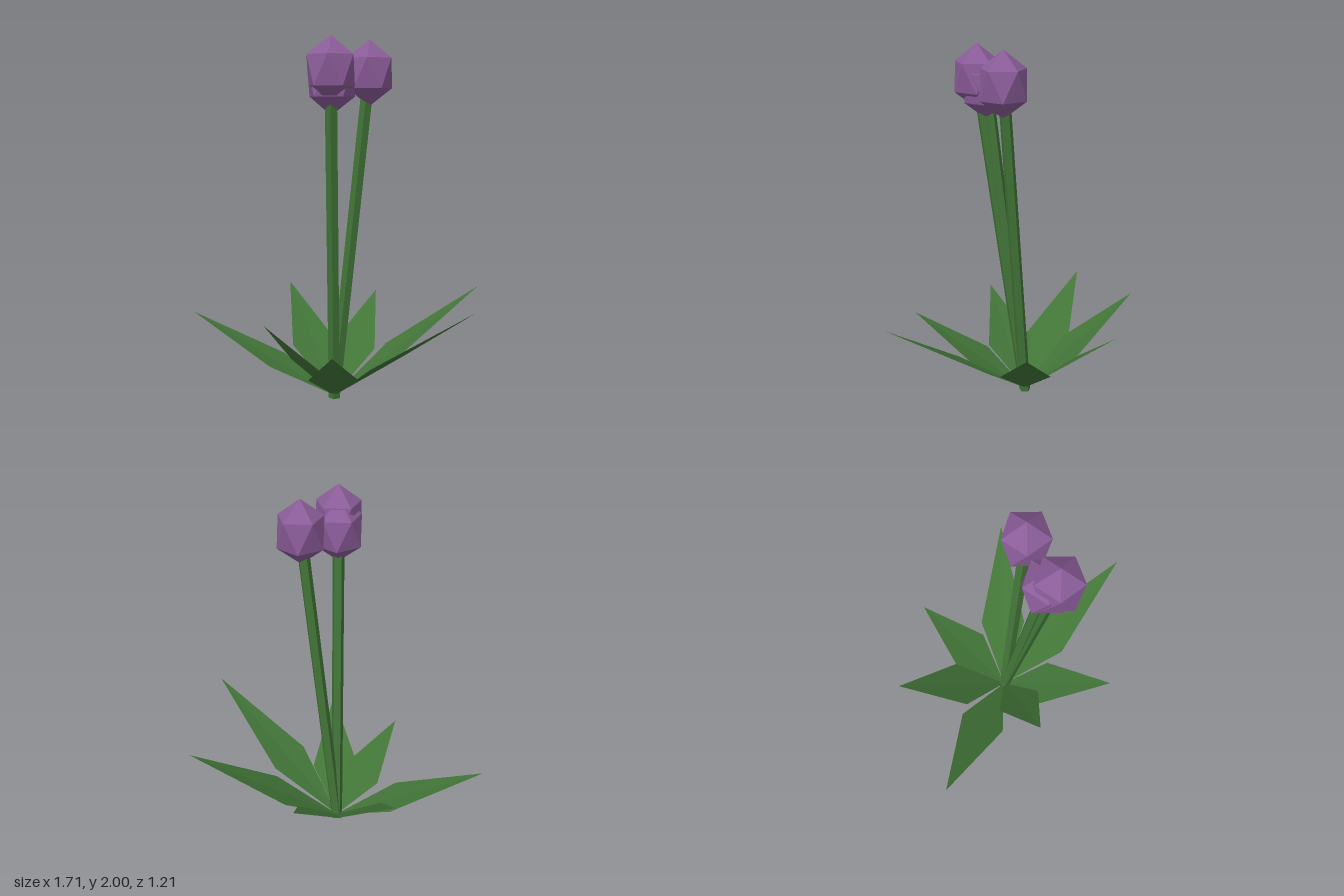
import * as THREE from 'three';

const green = new THREE.MeshStandardMaterial({ color: 0x427538, flatShading: true });
const leafGreen = new THREE.MeshStandardMaterial({ color: 0x427538, flatShading: true, side: THREE.DoubleSide });
const purple = new THREE.MeshStandardMaterial({ color: 0x8a5c99, flatShading: true });

const BASE = new THREE.Vector3(-0.03, 0, 0);

// Flat kite-shaped blade running from the base to its tip
function makeLeaf(tip, midRatio) {
  const root = BASE.clone().setY(0.012);
  const mid = root.clone().lerp(tip, midRatio);
  mid.y += 0.01;
  const side = new THREE.Vector3(tip.z - root.z, 0, root.x - tip.x).setLength(0.137);
  const right = mid.clone().add(side);
  const left = mid.clone().sub(side);
  const geometry = new THREE.BufferGeometry().setFromPoints([root, right, tip, root, tip, left]);
  geometry.computeVertexNormals();
  return new THREE.Mesh(geometry, leafGreen);
}

// Five-sided stem sheared from the base to the flower centre, so its ends stay level
function makeStem(top) {
  const geometry = new THREE.CylinderGeometry(0.033, 0.033, top.y, 5);
  geometry.rotateY(Math.PI / 2).translate(0, top.y / 2, 0);
  const p = geometry.attributes.position;
  for (let i = 0; i < p.count; i++) {
    const t = p.getY(i) / top.y;
    p.setX(i, p.getX(i) + THREE.MathUtils.lerp(BASE.x, top.x, t));
    p.setZ(i, p.getZ(i) + THREE.MathUtils.lerp(BASE.z, top.z, t));
  }
  geometry.computeVertexNormals();
  return new THREE.Mesh(geometry, green);
}

// Stretched icosahedron standing on a vertex
function makeBloom(centre) {
  const geometry = new THREE.IcosahedronGeometry(1, 0);
  geometry.rotateZ(-Math.atan(2 / (1 + Math.sqrt(5))));
  geometry.scale(0.14, 0.175, 0.14);
  geometry.computeVertexNormals();
  const bloom = new THREE.Mesh(geometry, purple);
  bloom.position.copy(centre);
  return bloom;
}

export function createModel() {
  const plant = new THREE.Group();
  plant.name = 'floweringPlant';

  // Leaf tips (x, y, z) and where along the leaf it is widest
  const leaves = [
    [-0.03, 0.5, -0.605, 0.43],
    [0.65, 0.61, -0.5, 0.4],
    [0.85, 0.645, 0.23, 0.4],
    [0.24, 0.435, 0.6, 0.39],
    [-0.245, 0.495, 0.415, 0.43],
    [-0.855, 0.45, 0.17, 0.4],
    [-0.53, 0.545, -0.41, 0.43],
  ];
  leaves.forEach(([x, y, z, ratio], i) => {
    const leaf = makeLeaf(new THREE.Vector3(x, y, z), ratio);
    leaf.name = `leaf${i + 1}`;
    plant.add(leaf);
  });

  // Three flowers, each a stem and a bloom
  const flowers = [
    [0.066, 1.825, 0.243],
    [0.17, 1.815, -0.01],
    [0.045, 1.77, 0.195],
  ];
  flowers.forEach((c, i) => {
    const centre = new THREE.Vector3(...c);
    const flower = new THREE.Group();
    flower.name = `flower${i + 1}`;
    const stem = makeStem(centre);
    stem.name = 'stem';
    const bloom = makeBloom(centre);
    bloom.name = 'bloom';
    flower.add(stem, bloom);
    plant.add(flower);
  });

  return plant;
}
